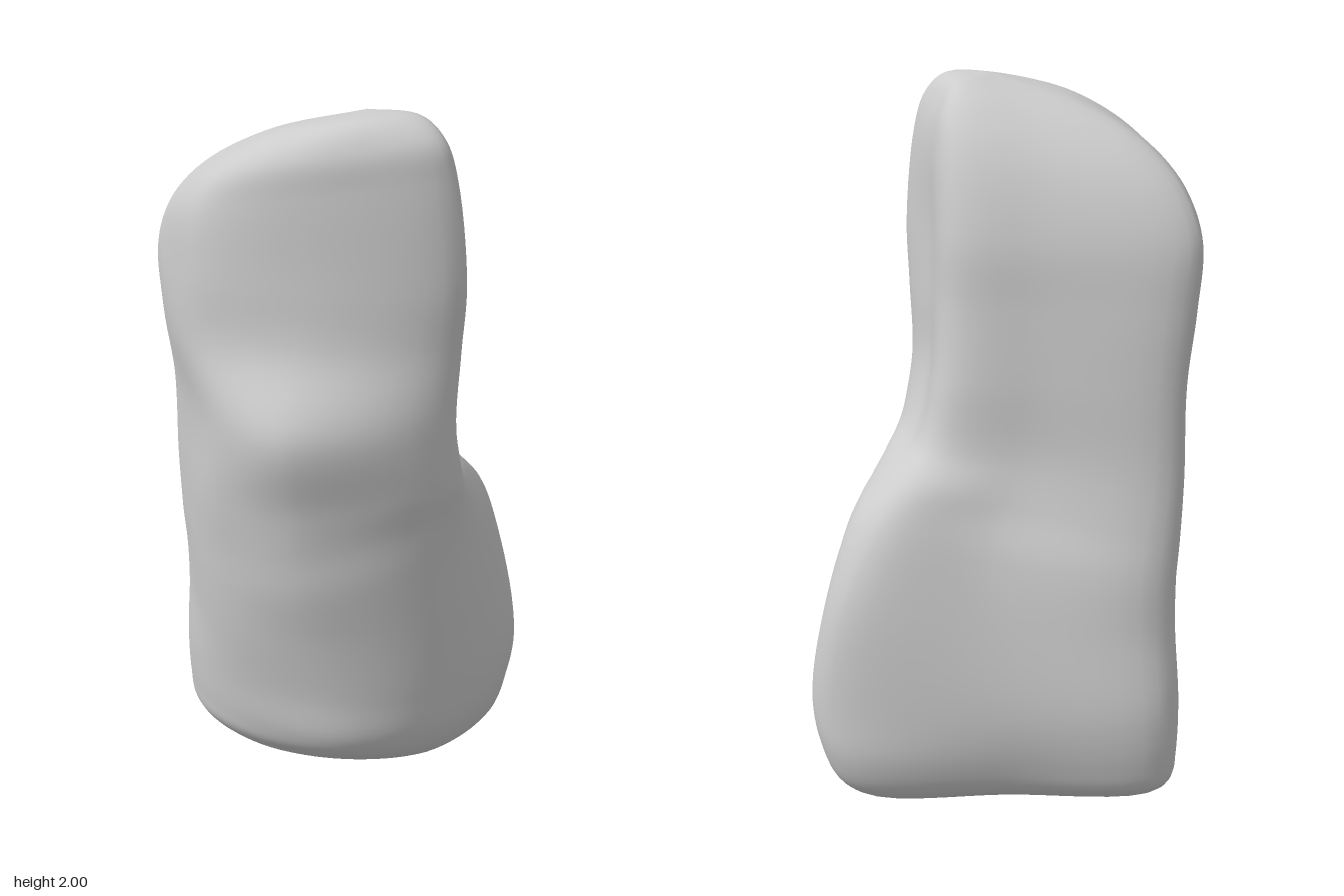
import * as THREE from 'three';
import { mergeVertices } from 'three/addons/utils/BufferGeometryUtils.js';

// Each ring: [height, tilt along x, tilt along z], then x,z pairs:
// back-left, back, back-right, right, front-right, front, front-left, left.
const base = [
  [[0.065, -0.06, 0.15], [-.38, -.26, 0, -.26, .28, -.26, .33, -.19, .20, 0, 0, .08, -.20, .05, -.35, -.10]],
  [[0.14, -0.03, 0.14], [-.46, -.33, -.03, -.37, .39, -.37, .46, -.24, .26, .15, .01, .23, -.24, .14, -.43, -.08]],
  [[0.22, 0, 0.10], [-.47, -.35, -.05, -.41, .42, -.41, .50, -.28, .30, .18, .02, .28, -.26, .16, -.45, -.09]],
  [[0.36, 0, 0.08], [-.47, -.35, -.05, -.43, .44, -.41, .52, -.29, .31, .20, .02, .30, -.29, .17, -.46, -.09]],
  [[0.58, 0.1, 0], [-.46, -.30, 0, -.40, .40, -.41, .47, -.28, .31, .22, -.03, .33, -.32, .19, -.45, -.07]],
  [[0.76, 0.2, 0], [-.46, -.28, 0, -.35, .31, -.38, .40, -.26, .30, .24, -.08, .36, -.34, .20, -.45, -.05]],
  [[0.88, 0.2, 0], [-.47, -.26, -.03, -.29, .25, -.33, .33, -.17, .305, .25, -.10, .37, -.34, .22, -.45, -.02]],
];
const column = [
  [[1.00, 0.1, 0], [-.48, -.24, -.08, -.25, .19, -.24, .26, -.08, .305, .27, -.10, .39, -.34, .25, -.45, -.01]],
  [[1.20, 0, 0], [-.48, -.23, -.10, -.24, .155, -.21, .22, 0, .29, .28, -.12, .43, -.31, .31, -.45, 0]],
  [[1.40, 0, 0], [-.50, -.22, -.10, -.23, .14, -.19, .22, .03, .30, .28, -.08, .345, -.37, .22, -.48, 0]],
  [[1.58, 0, 0], [-.515, -.20, -.10, -.22, .14, -.18, .22, .05, .31, .29, -.05, .33, -.37, .22, -.48, -.01]],
  [[1.78, 0.12, 0.1], [-.47, -.16, -.10, -.17, .14, -.13, .22, .06, .28, .29, -.03, .325, -.35, .22, -.45, 0]],
  [[1.88, 0.13, 0.1], [-.37, -.09, -.08, -.10, .14, -.07, .20, .08, .25, .28, 0, .32, -.28, .23, -.36, .03]],
  [[1.95, 0.12, 0.1], [-.18, .02, -.02, 0, .12, .01, .16, .10, .19, .23, .03, .275, -.15, .20, -.19, .08]],
];

const SIDES = 8, AROUND = 64, UP = 96;

function ringPoints([[y, tiltX, tiltZ], xz]) {
  return Array.from({ length: SIDES }, (_, i) => {
    const x = xz[2 * i], z = xz[2 * i + 1];
    return new THREE.Vector3(x, y + tiltX * x + tiltZ * z, z);
  });
}

const pole = (x, y, z) => Array.from({ length: SIDES }, () => new THREE.Vector3(x, y, z));

// Smooth skin through the rings, closed by a pole at each end
function rockGeometry() {
  const rings = [pole(0.08, 0.01, -0.17), ...[...base, ...column].map(ringPoints), pole(0.06, 2, 0.15)];
  const rails = Array.from({ length: SIDES }, (_, i) =>
    new THREE.CatmullRomCurve3(rings.map((r) => r[i])));

  const positions = [], index = [];
  for (let j = 0; j <= UP; j++) {
    const corners = rails.map((rail) => rail.getPoint(j / UP));
    const loop = new THREE.CatmullRomCurve3(corners, true);
    const atPole = j === 0 || j === UP;
    for (let i = 0; i < AROUND; i++) {
      const p = atPole ? corners[0] : loop.getPoint(i / AROUND);
      positions.push(p.x, p.y, p.z);
      if (j === UP) continue;
      const a = j * AROUND + i, b = j * AROUND + (i + 1) % AROUND;
      const c = a + AROUND, d = b + AROUND;
      if (j > 0) index.push(a, c, b);
      if (j < UP - 1) index.push(b, c, d);
    }
  }
  let geometry = new THREE.BufferGeometry();
  geometry.setAttribute('position', new THREE.Float32BufferAttribute(positions, 3));
  geometry.setIndex(index);
  geometry = mergeVertices(geometry, 1e-5);
  geometry.computeVertexNormals();
  return geometry;
}

export function createModel() {
  const group = new THREE.Group();
  group.name = 'standingRock';
  const rock = new THREE.Mesh(rockGeometry(), new THREE.MeshStandardMaterial({ color: 0xcccccc }));
  rock.name = 'rock';
  group.add(rock);
  return group;
}
